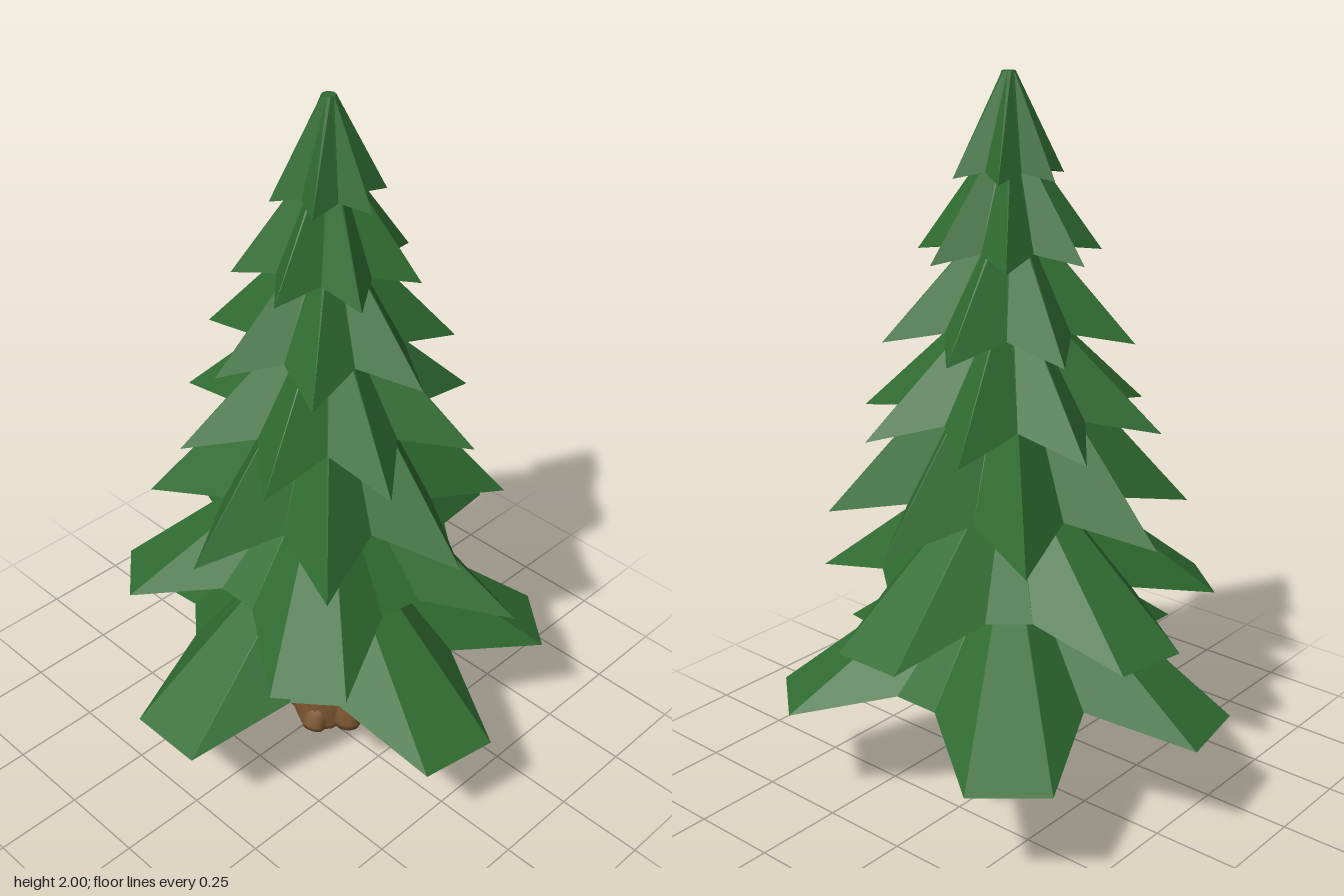
import * as THREE from 'three';

const needles = new THREE.MeshStandardMaterial({ color: 0x2f6b30 });
needles.name = 'needleGreen';
needles.flatShading = true;
const bark = new THREE.MeshStandardMaterial({ color: 0x7a5530 });
bark.name = 'barkBrown';

const AXIS_X = 0.03;
const star = (n) => 'Tv'.repeat(n);

// top to bottom: rim pattern (T = branch tip, v = notch), angle of first rim point,
// tip radius, tip height, notch rise, top height
const tiers = [
  { rim: star(6), start: 90, r: 0.15, y: 1.74, rise: 0.02, top: 2.0 },
  { rim: star(7), start: -90, r: 0.246, y: 1.54, rise: 0.027, top: 1.86 },
  { rim: star(7), start: 90, r: 0.335, y: 1.32, rise: 0.04, top: 1.67 },
  { rim: star(8), start: 22.5, r: 0.415, y: 1.09, rise: 0.046, top: 1.47 },
  { rim: star(8), start: 0, r: 0.49, y: 0.84, rise: 0.06, top: 1.38 },
  { rim: 'TvvTvvTTvvTTvTTvvT', start: 10, r: 0.57, y: 0.58, rise: 0.072, top: 1.02 },
  { rim: 'vTTvTTvvTTvvTTvTTv', start: 10, r: 0.635, y: 0.315, rise: 0.077, top: 0.78 },
];
// the second-lowest tier has a full notch at the front and a paired tip at the back
tiers[5].rim = 'TvvTvvTTvvTTvTTvvT';

// jagged cone: outer slopes, small top cap and closed underside
function tierGeometry({ rim, start, r, y, rise, top }) {
  const n = rim.length;
  const ring = [], crown = [];
  for (let i = 0; i < n; i++) {
    const a = THREE.MathUtils.degToRad(start + (i * 360) / n);
    const tip = rim[i] === 'T';
    const radius = tip ? r : r * 0.615;
    ring.push([Math.cos(a) * radius, tip ? y : y + rise, Math.sin(a) * radius]);
    crown.push([Math.cos(a) * 0.018, top, Math.sin(a) * 0.018]);
  }
  const peak = [0, top, 0], under = [0, y + rise, 0];
  const pos = [];
  const tri = (a, b, c) => pos.push(...a, ...b, ...c);
  for (let i = 0; i < n; i++) {
    const j = (i + 1) % n;
    tri(crown[i], crown[j], ring[j]);
    tri(crown[i], ring[j], ring[i]);
    tri(peak, crown[j], crown[i]);
    tri(under, ring[i], ring[j]);
  }
  const g = new THREE.BufferGeometry();
  g.setAttribute('position', new THREE.Float32BufferAttribute(pos, 3));
  g.computeVertexNormals();
  return g;
}

// tapered rounded lump between two points
function lump(name, from, to, radius) {
  const a = new THREE.Vector3(...from), b = new THREE.Vector3(...to);
  const dir = b.clone().sub(a);
  const len = dir.length();
  const profile = [[0, 0], [0.55, 0.06], [0.9, 0.2], [1, 0.5], [0.95, 0.85], [0.75, 0.97], [0, 1]]
    .map(([pr, py]) => new THREE.Vector2(pr * radius, py * len));
  const mesh = new THREE.Mesh(new THREE.LatheGeometry(profile, 14), bark);
  mesh.position.copy(a);
  mesh.quaternion.setFromUnitVectors(new THREE.Vector3(0, 1, 0), dir.normalize());
  mesh.name = name;
  return mesh;
}

export function createModel() {
  const tree = new THREE.Group();
  tree.name = 'pineTree';

  const foliage = new THREE.Group();
  foliage.name = 'foliage';
  foliage.position.x = AXIS_X;
  tiers.forEach((t, i) => {
    const m = new THREE.Mesh(tierGeometry(t), needles);
    m.name = `branchTier${i + 1}`;
    foliage.add(m);
  });
  tree.add(foliage);

  // trunk with a slightly flared, uneven foot
  const trunkGroup = new THREE.Group();
  trunkGroup.name = 'trunkGroup';
  const profile = [[0, 0.025], [0.11, 0.02], [0.118, 0.04], [0.11, 0.1], [0.106, 0.2], [0.105, 0.395]]
    .map(([r, y]) => new THREE.Vector2(r, y));
  const g = new THREE.LatheGeometry(profile, 28);
  const p = g.attributes.position;
  for (let i = 0; i < p.count; i++) {
    const y = p.getY(i);
    if (y > 0.05 || Math.hypot(p.getX(i), p.getZ(i)) < 0.01) continue;
    const a = Math.atan2(p.getZ(i), p.getX(i));
    const k = 1 + 0.07 * Math.sin(a * 5);
    p.setXYZ(i, p.getX(i) * k, y + 0.012 * Math.sin(a * 7 + 1), p.getZ(i) * k);
  }
  g.computeVertexNormals();
  const trunk = new THREE.Mesh(g, bark);
  trunk.name = 'trunk';
  trunk.position.x = AXIS_X + 0.006;
  trunkGroup.add(trunk);

  // roots and knots around the foot
  trunkGroup.add(
    lump('frontRoot', [0.045, 0.18, 0.085], [0.005, 0.02, 0.115], 0.045),
    lump('leftRoot', [0.12, 0.16, -0.03], [0.17, 0.035, -0.05], 0.036),
    lump('rightRoot', [-0.02, 0.1, 0.03], [-0.07, 0.01, 0.04], 0.04),
    lump('backKnot', [0.05, 0.15, -0.07], [0.055, 0.06, -0.095], 0.04),
    lump('branchStub', [-0.045, 0.07, 0.0], [-0.085, 0.25, 0.0], 0.026),
    lump('backStub', [0.0, 0.17, -0.08], [-0.01, 0.245, -0.105], 0.02),
  );
  tree.add(trunkGroup);
  return tree;
}
